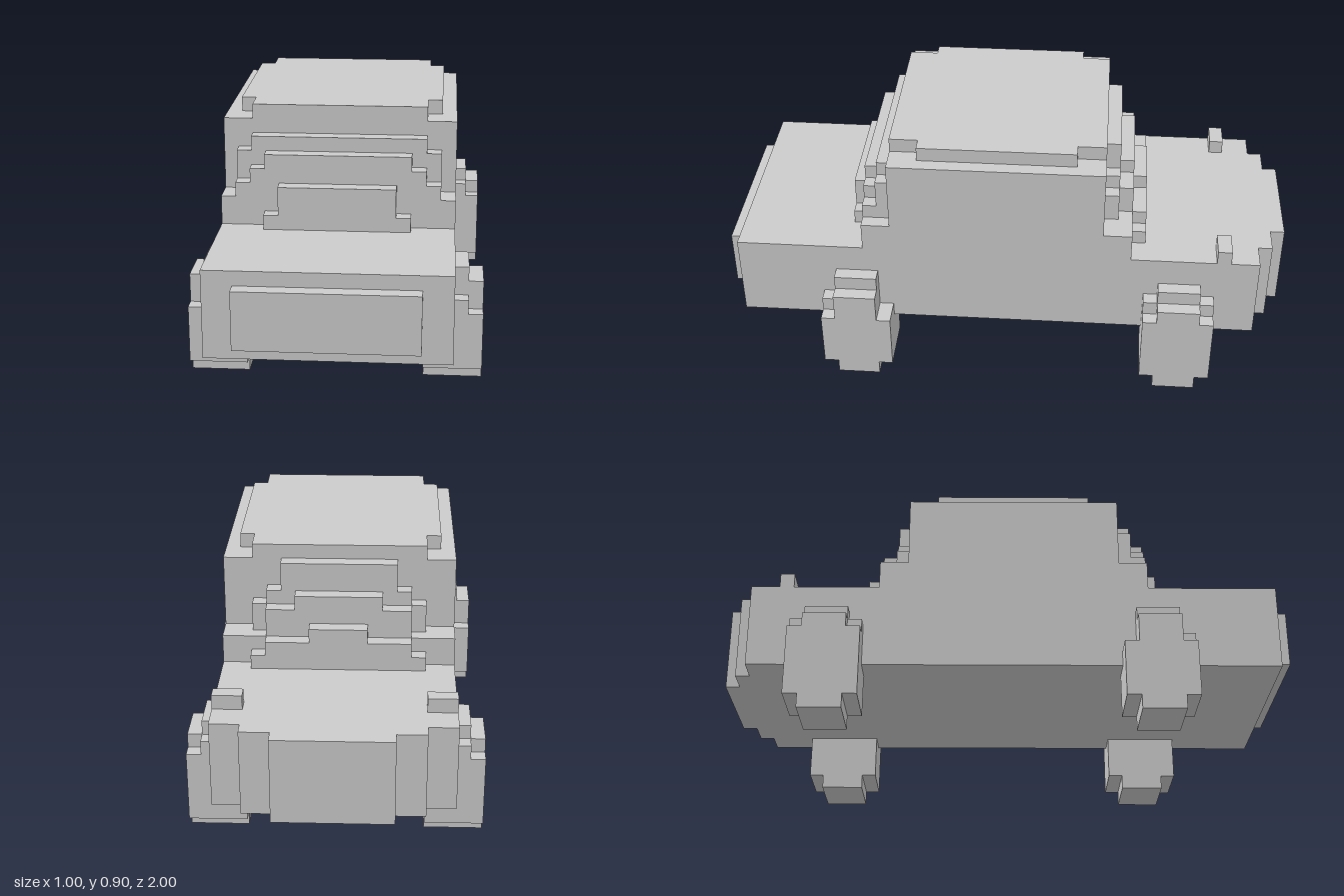
import * as THREE from 'three';

const material = new THREE.MeshStandardMaterial({ color: 0xcccccc, flatShading: true });

// Box given by its limits on each axis
function block(parent, name, x0, x1, y0, y1, z0, z1) {
  const mesh = new THREE.Mesh(new THREE.BoxGeometry(x1 - x0, y1 - y0, z1 - z0), material);
  mesh.name = name;
  mesh.position.set((x0 + x1) / 2, (y0 + y1) / 2, (z0 + z1) / 2);
  parent.add(mesh);
}

// One slab cut to a symmetric staircase outline; steps are [halfWidth, top], widest first
function steppedSlab(parent, name, z0, z1, base, steps) {
  const right = [];
  let y = base;
  for (const [w, top] of steps) {
    right.push([w, y], [w, top]);
    y = top;
  }
  const left = right.map(([x, h]) => [-x, h]).reverse();
  const shape = new THREE.Shape([...right, ...left].map(([x, h]) => new THREE.Vector2(x, h)));
  const geometry = new THREE.ExtrudeGeometry(shape, { depth: z1 - z0, bevelEnabled: false });
  const mesh = new THREE.Mesh(geometry, material);
  mesh.name = name;
  mesh.position.z = z0;
  parent.add(mesh);
}

// Wheel column slices: [z0, z1, bottom, top at x 0.45, top at x 0.5]
function wheel(parent, name, side, slices) {
  const group = new THREE.Group();
  group.name = name;
  for (const [z0, z1, bottom, innerTop, outerTop] of slices) {
    const span = (a, b) => (side > 0 ? [a, b] : [-b, -a]);
    // Under the body, the wheel reaches inwards to x 0.3
    block(group, 'wheelInner', ...span(0.3, 0.4), bottom, 0.2, z0, z1);
    block(group, 'wheelMiddle', ...span(0.4, 0.45), bottom, innerTop, z0, z1);
    block(group, 'wheelOuter', ...span(0.45, 0.5), bottom, outerTop, z0, z1);
  }
  parent.add(group);
}

export function createModel() {
  const car = new THREE.Group();
  car.name = 'blockCar';

  // Lower body with stepped tail and front grille
  block(car, 'body', -0.4, 0.4, 0.2, 0.5, -0.9, 0.95);
  block(car, 'tailStep', -0.3, 0.3, 0.2, 0.5, -0.95, -0.9);
  block(car, 'tailEnd', -0.2, 0.2, 0.2, 0.5, -1, -0.95);
  block(car, 'grille', -0.3, 0.3, 0.25, 0.45, 0.95, 1);

  // Cabin and roof with notched corners
  block(car, 'cabin', -0.4, 0.4, 0.5, 0.85, -0.35, 0.4);
  block(car, 'roof', -0.3, 0.3, 0.85, 0.9, -0.35, 0.4);
  for (const s of [-1, 1]) {
    block(car, 'roofEdge', s * 0.325 - 0.025, s * 0.325 + 0.025, 0.85, 0.9, -0.25, 0.3);
  }

  // Stepped windscreen
  steppedSlab(car, 'windscreenInner', 0.4, 0.45, 0.5, [[0.4, 0.6], [0.35, 0.75], [0.3, 0.8]]);
  steppedSlab(car, 'windscreenMiddle', 0.45, 0.5, 0.5,
    [[0.4, 0.6], [0.35, 0.65], [0.3, 0.7], [0.25, 0.75]]);
  steppedSlab(car, 'windscreenOuter', 0.5, 0.55, 0.5, [[0.25, 0.55], [0.2, 0.65]]);

  // Stepped rear window
  steppedSlab(car, 'rearWindowInner', -0.4, -0.35, 0.5,
    [[0.4, 0.6], [0.3, 0.7], [0.25, 0.75], [0.2, 0.85]]);
  steppedSlab(car, 'rearWindowMiddle', -0.45, -0.4, 0.5, [[0.4, 0.6], [0.25, 0.7], [0.15, 0.75]]);
  steppedSlab(car, 'rearWindowOuter', -0.5, -0.45, 0.5, [[0.3, 0.55], [0.25, 0.6], [0.1, 0.65]]);

  // Mirrored tail fins and wheels
  for (const s of [-1, 1]) {
    const label = s > 0 ? 'Left' : 'Right';
    block(car, 'tailFin' + label, s * 0.35 - 0.05, s * 0.35 + 0.05, 0.5, 0.55, -0.8, -0.75);
    wheel(car, 'frontWheel' + label, s, [
      [0.4, 0.45, 0.05, 0.25, 0.25],
      [0.45, 0.6, 0, 0.4, 0.35],
      [0.6, 0.65, 0.05, 0.3, 0.25],
    ]);
    wheel(car, 'rearWheel' + label, s, [
      [-0.75, -0.7, 0.05, 0.35, 0.3],
      [-0.7, -0.55, 0, 0.4, 0.35],
      [-0.55, -0.5, 0.05, 0.35, 0.3],
    ]);
  }
  return car;
}
